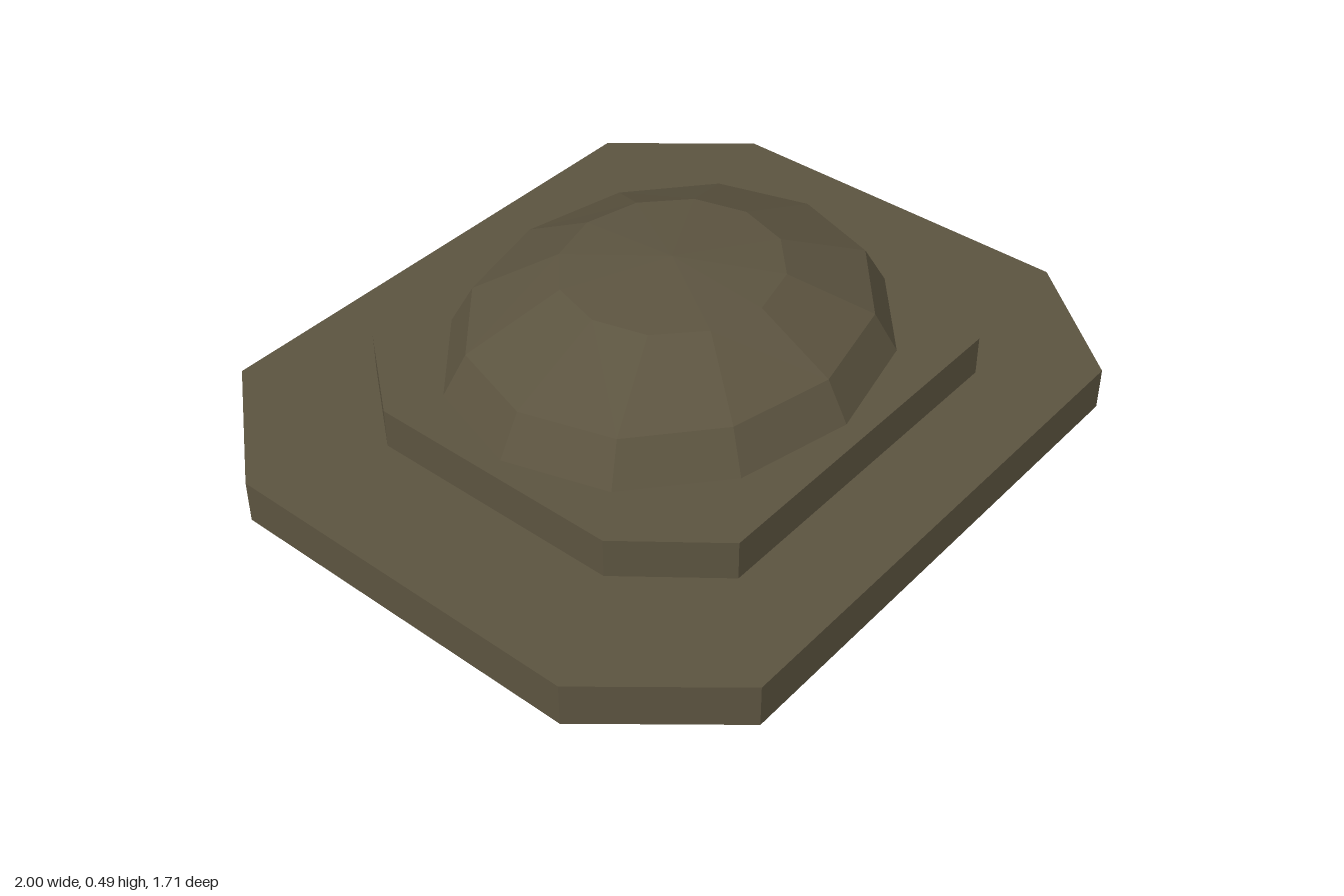
import * as THREE from 'three';

export function createModel() {
  const group = new THREE.Group();
  const olive = new THREE.MeshStandardMaterial({ color: 0x5c5440, flatShading: true });
  olive.name = 'olive drab';

  const add = (name, geometry) => {
    const mesh = new THREE.Mesh(geometry, olive);
    mesh.name = name;
    group.add(mesh);
    return mesh;
  };

  // Rectangular slab with four cut corners; x and z are half sizes, cx and cz the start of each cut
  const slab = (name, x, z, cx, cz, y0, y1, zOffset = 0) => {
    const shape = new THREE.Shape([
      [cx, -z], [x, -cz], [x, cz], [cx, z], [-cx, z], [-x, cz], [-x, -cz], [-cx, -z],
    ].map(([a, b]) => new THREE.Vector2(a, b)));
    const geometry = new THREE.ExtrudeGeometry(shape, { depth: y1 - y0, bevelEnabled: false });
    geometry.rotateX(-Math.PI / 2).translate(0, y0, zOffset);
    return add(name, geometry);
  };

  slab('basePlate', 1, 0.856, 0.718, 0.514, 0, 0.12);
  slab('upperPlate', 0.686, 0.6, 0.493, 0.357, 0.127, 0.238, 0.012);

  // Twelve-sided dome, slightly narrower front to back: [x radius, y, z radius]
  const rings = [
    [0.65, 0.12, 0.59], [0.635, 0.238, 0.552], [0.57, 0.347, 0.492],
    [0.3, 0.462, 0.284], [0, 0.487, 0],
  ];
  const dome = new THREE.LatheGeometry(rings.map(([r, y]) => new THREE.Vector2(r, y)), 12);
  const pos = dome.attributes.position;
  for (let i = 0; i < pos.count; i++) {
    const [r, , rz] = rings[i % rings.length];
    if (r > 0) pos.setZ(i, pos.getZ(i) * rz / r);
  }
  dome.computeVertexNormals();
  add('dome', dome);

  return group;
}
